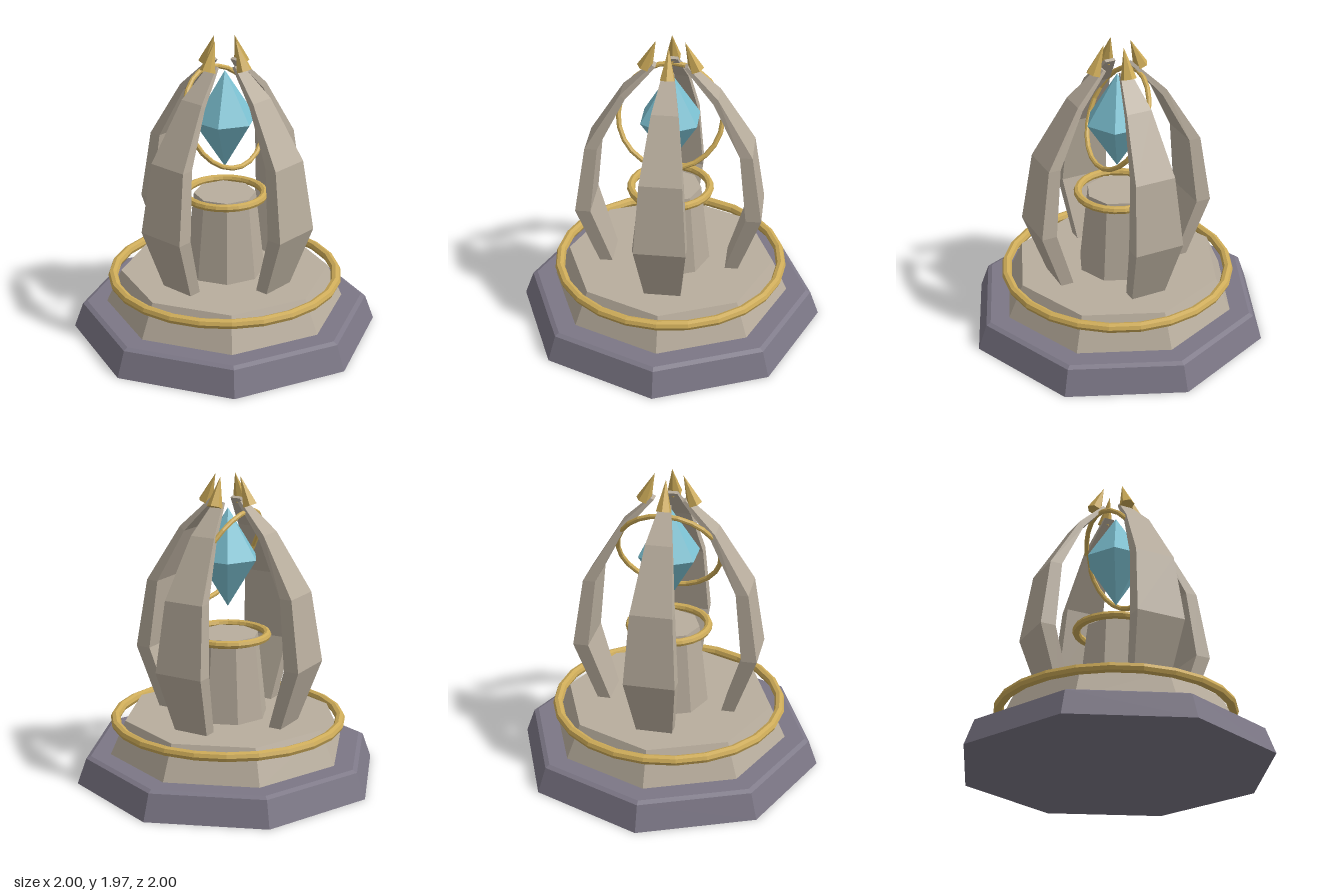
import * as THREE from 'three';

const flat = (name, color) => {
  const m = new THREE.MeshStandardMaterial({ color, flatShading: true });
  m.name = name;
  return m;
};

// Tapering four-sided strut, lofted through rows of
// [outer radius, outer y, inner radius, inner y, half width]
function strutGeometry(rows) {
  const pos = [], idx = [];
  for (const [ro, yo, ri, yi, w] of rows) {
    pos.push(-w, yo, ro, w, yo, ro, w, yi, ri, -w, yi, ri);
  }
  for (let r = 0; r < rows.length - 1; r++) {
    for (let k = 0; k < 4; k++) {
      const a = r * 4 + k, b = r * 4 + (k + 1) % 4;
      idx.push(a, b, b + 4, a, b + 4, a + 4);
    }
  }
  const t = (rows.length - 1) * 4;
  idx.push(0, 2, 1, 0, 3, 2, t, t + 1, t + 2, t, t + 2, t + 3);
  const g = new THREE.BufferGeometry();
  g.setAttribute('position', new THREE.Float32BufferAttribute(pos, 3));
  g.setIndex(idx);
  const out = g.toNonIndexed();
  out.computeVertexNormals();
  return out;
}

export function createModel() {
  const model = new THREE.Group();
  model.name = 'crystalShrine';
  const stone = flat('pale stone', 0xb8ad9d);
  const slate = flat('slate', 0x7c7786);
  const gold = flat('gold', 0xcdab58);
  const crystalBlue = flat('crystal blue', 0x7cc1d2);

  const add = (name, geometry, material, y = 0, parent = model) => {
    const mesh = new THREE.Mesh(geometry, material);
    mesh.name = name;
    mesh.position.y = y;
    parent.add(mesh);
    return mesh;
  };

  // Octagonal plinth with a bevelled rim
  const profile = [[0, 0], [1, 0], [0.94, 0.165], [0.91, 0.18], [0, 0.18]];
  add('plinth', new THREE.LatheGeometry(profile.map(p => new THREE.Vector2(...p)), 8), slate);

  // Upper step and central pedestal
  add('step', new THREE.CylinderGeometry(0.68, 0.78, 0.22, 8), stone, 0.29);
  add('pedestal', new THREE.CylinderGeometry(0.2, 0.26, 0.54, 8), stone, 0.67);

  // Gold rings
  const ring = (name, radius, tube, y, tilt) => {
    add(name, new THREE.TorusGeometry(radius, tube, 8, 24), gold, y).rotation.x = tilt;
  };
  ring('stepRing', 0.735, 0.032, 0.37, Math.PI / 2);
  ring('pedestalRing', 0.255, 0.026, 0.933, Math.PI / 2);
  ring('crystalHalo', 0.33, 0.016, 1.453, -0.45);

  // Floating six-sided crystal
  const crystal = new THREE.Group();
  crystal.name = 'crystal';
  crystal.position.y = 1.44;
  model.add(crystal);
  add('crystalTop', new THREE.ConeGeometry(0.205, 0.32, 6, 1, true), crystalBlue, 0.16, crystal);
  add('crystalBottom', new THREE.CylinderGeometry(0.205, 0, 0.32, 6, 1, true), crystalBlue, -0.16, crystal);

  // Four curved arms, each tipped by a gold spike leaning inwards
  const armGeometry = strutGeometry([
    [0.45, 0.38, 0.365, 0.38, 0.115],
    [0.6, 0.805, 0.5, 0.805, 0.163],
    [0.53, 1.255, 0.45, 1.255, 0.133],
    [0.305, 1.625, 0.275, 1.595, 0.083],
    [0.11, 1.815, 0.09, 1.805, 0.033],
  ]);
  const spikeGeometry = new THREE.ConeGeometry(0.05, 0.195, 6);
  for (let i = 0; i < 4; i++) {
    const arm = new THREE.Group();
    arm.name = 'arm' + (i + 1);
    arm.rotation.y = i * Math.PI / 2;
    model.add(arm);
    add('armStrut', armGeometry, stone, 0, arm);
    const spike = add('armSpike', spikeGeometry, gold, 1.878, arm);
    spike.position.z = 0.125;
    spike.rotation.x = -0.37;
  }
  return model;
}
